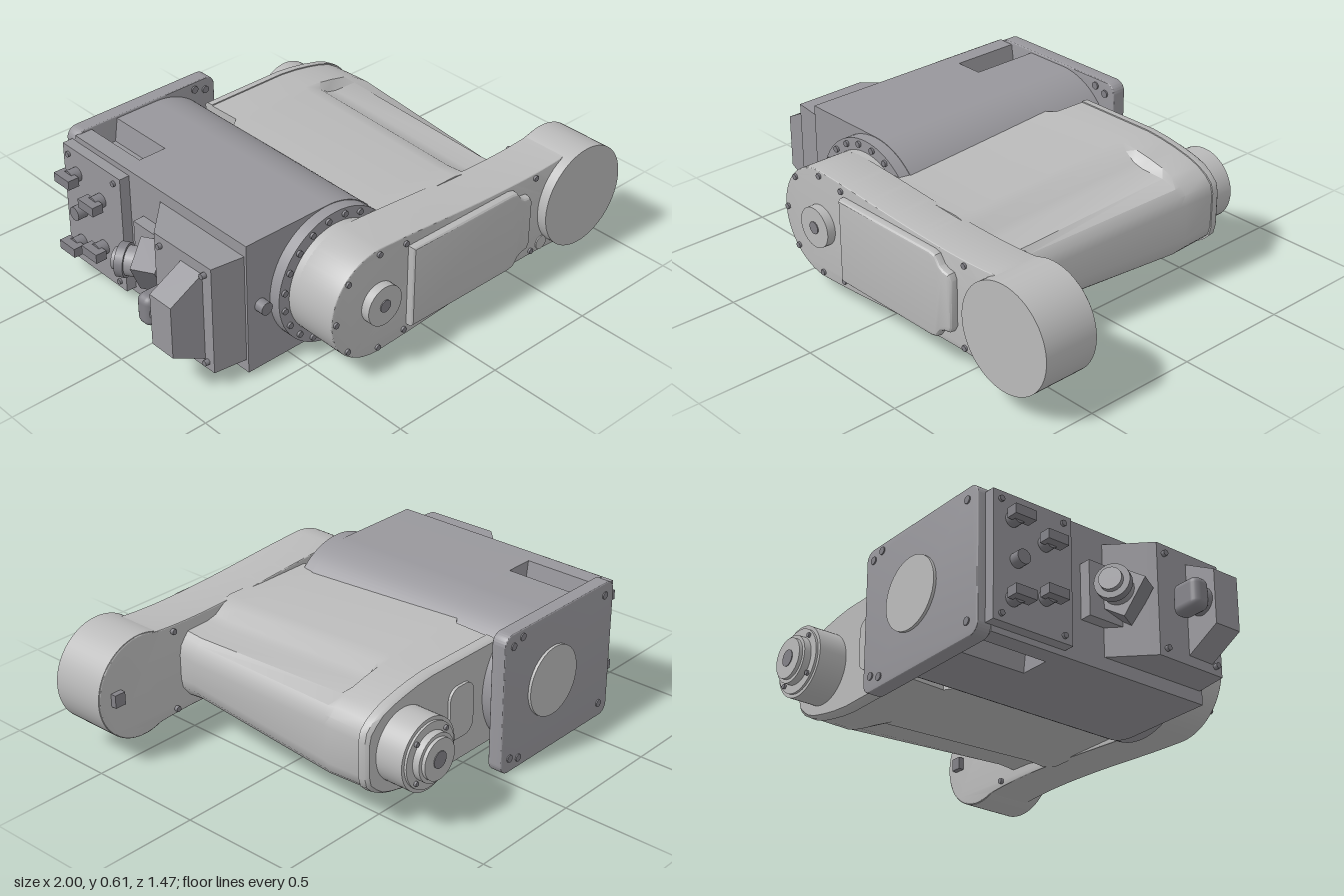
import * as THREE from 'three';
import { toCreasedNormals } from 'three/addons/utils/BufferGeometryUtils.js';
import { RoundedBoxGeometry } from 'three/addons/geometries/RoundedBoxGeometry.js';

const mat = (name, color) => new THREE.MeshStandardMaterial({ name, color });
const CY = 0.3125, JX = -0.315; // shared axis height and shoulder joint x

export function createModel() {
  const root = new THREE.Group();
  const light = mat('light grey', 0xbababa);
  const grey = mat('base grey', 0x98979c);
  const dark = mat('fitting grey', 0x828187);

  const add = (name, geo, m, x = 0, y = 0, z = 0) => {
    const mesh = new THREE.Mesh(geo, m);
    mesh.name = name;
    mesh.position.set(x, y, z);
    root.add(mesh);
    return mesh;
  };
  const box = (name, m, x0, x1, y0, y1, z0, z1) => add(name,
    new THREE.BoxGeometry(x1 - x0, y1 - y0, z1 - z0), m, (x0 + x1) / 2, (y0 + y1) / 2, (z0 + z1) / 2);
  // Cylinder along z or x between two positions
  const cylZ = (name, m, x, y, r, z0, z1, seg = 40) => add(name,
    new THREE.CylinderGeometry(r, r, z1 - z0, seg).rotateX(Math.PI / 2), m, x, y, (z0 + z1) / 2);
  const cylX = (name, m, x0, x1, y, z, r, seg = 20) => add(name,
    new THREE.CylinderGeometry(r, r, x1 - x0, seg).rotateZ(Math.PI / 2), m, (x0 + x1) / 2, y, z);
  // Shape in x-y extruded from z0 to z1 with an optional inward bevel
  const extrude = (name, m, shape, z0, z1, bevel = 0) => add(name, toCreasedNormals(
    new THREE.ExtrudeGeometry(shape, {
      depth: z1 - z0 - 2 * bevel, curveSegments: 28, bevelEnabled: bevel > 0,
      bevelSize: bevel, bevelThickness: bevel, bevelOffset: -bevel, bevelSegments: 3,
    }).translate(0, 0, z0 + bevel), 0.5), m);
  const poly = pts => new THREE.Shape(pts.map(p => new THREE.Vector2(...p)));
  const mirrored = pts => [...pts, ...[...pts].reverse().map(([x, y]) => [x, 2 * CY - y])];
  const rounded = (x0, x1, y0, y1, r) => {
    const s = new THREE.Shape();
    s.absarc(x1 - r, y1 - r, r, 0, Math.PI / 2);
    s.absarc(x0 + r, y1 - r, r, Math.PI / 2, Math.PI);
    s.absarc(x0 + r, y0 + r, r, Math.PI, Math.PI * 1.5);
    s.absarc(x1 - r, y0 + r, r, Math.PI * 1.5, Math.PI * 2);
    s.closePath();
    return s;
  };

  // Base housing: flat on the right, half round on the left, pockets near the foot
  const housing = pocket => {
    const s = new THREE.Shape();
    const top = 0.6, bottom = 0.025, d = 0.1;
    s.moveTo(-0.71, bottom);
    s.lineTo(-0.71, top);
    if (pocket) [[-0.635, top], [-0.62, top - d], [-0.525, top - d], [-0.51, top]].forEach(p => s.lineTo(...p));
    s.lineTo(JX, top);
    s.absarc(JX, CY, 0.2875, Math.PI / 2, -Math.PI / 2, true);
    if (pocket) [[-0.51, bottom], [-0.525, bottom + d], [-0.62, bottom + d], [-0.635, bottom]].forEach(p => s.lineTo(...p));
    s.closePath();
    return s;
  };
  extrude('baseHousing', grey, housing(false), -0.31, 0.405);
  extrude('baseHousingRear', grey, housing(true), -0.62, -0.31);

  // Mounting foot with rear disc and corner bolts
  extrude('mountingFlange', grey, rounded(-0.71, -0.01, 0.005, 0.61, 0.045), -0.68, -0.615, 0.006);
  cylZ('footDisc', light, JX, CY, 0.15, -0.692, -0.67);
  for (const x of [-0.65, -0.115, -0.06]) for (const s of [-1, 1]) {
    cylZ('footBolt', dark, x, CY + s * (x === -0.115 ? 0.265 : 0.245), 0.016, -0.685, -0.608, 12);
  }

  // Shoulder flange ringed with bolts
  cylZ('shoulderFlange', grey, JX, CY, 0.285, 0.4, 0.455, 64);
  for (let i = 0; i < 20; i++) {
    const a = (i + 0.5) / 20 * Math.PI * 2;
    cylZ('flangeBolt', dark, JX + 0.262 * Math.cos(a), CY + 0.262 * Math.sin(a), 0.013, 0.45, 0.465, 10);
  }
  cylZ('shoulderLip', light, JX, CY, 0.235, 0.42, 0.49, 64);
  cylZ('drainPlug', dark, -0.648, CY, 0.027, 0.4, 0.445, 16);

  // Connector box on the right side
  const sideBox = new THREE.Group();
  sideBox.name = 'connectorBox';
  const plan = (name, pts, y0, y1) => {
    const g = new THREE.ExtrudeGeometry(poly(pts.map(([x, z]) => [x, -z])), { depth: y1 - y0, bevelEnabled: false })
      .rotateX(-Math.PI / 2).translate(0, y0, 0);
    const mesh = new THREE.Mesh(g, grey);
    mesh.name = name;
    sideBox.add(mesh);
  };
  plan('connectorBoxBody', [[-0.7, 0.395], [-0.85, 0.375], [-0.855, 0.055], [-0.83, 0.03], [-0.7, -0.1]], 0.08, 0.55);
  root.add(sideBox);
  extrude('connectorBoxNose', grey, poly(mirrored([[-0.85, 0.505], [-1, 0.425]])), 0.205, 0.325);
  add('connectorKnob', new RoundedBoxGeometry(0.13, 0.13, 0.08, 3, 0.03), dark, -0.932, CY, 0.147);
  cylZ('connectorKnobNeck', dark, -0.932, CY, 0.055, 0.15, 0.21, 24);
  for (const y of [0.115, 0.51]) for (const z of [0.09, 0.34]) cylX('boxScrew', dark, -0.87, -0.84, y, z, 0.012, 10);

  // Tilted plug between the box and the cable panel
  const plug = new THREE.Group();
  plug.name = 'tiltedPlug';
  [[0.075, 0.1, -0.02], [0.06, 0.1, 0.06], [0.07, 0.035, 0.095], [0.045, 0.03, 0.12]].forEach(([r, h, y], i) => {
    const mesh = new THREE.Mesh(i ? new THREE.CylinderGeometry(r, r, h, 24) : new THREE.BoxGeometry(0.14, h, 0.17), i % 2 ? grey : dark);
    mesh.name = 'plugSection';
    mesh.position.y = y;
    plug.add(mesh);
  });
  plug.position.set(-0.795, CY, -0.075);
  plug.quaternion.setFromUnitVectors(new THREE.Vector3(0, 1, 0), new THREE.Vector3(-0.5, 0, -0.866));
  root.add(plug);
  box('plugBracket', grey, -0.76, -0.7, 0.2, 0.43, -0.2, 0);

  // Cable panel with fittings
  box('cablePanel', grey, -0.755, -0.7, 0.05, 0.575, -0.645, -0.28);
  for (const [y, z] of [[0.42, -0.41], [0.2, -0.41], [0.31, -0.54], [0.15, -0.56], [0.47, -0.56]]) {
    cylX('cableFitting', dark, -0.8, -0.75, y, z, 0.03, 16);
    if (z > -0.5 || y !== 0.31) box('elbowFitting', dark, -0.835, -0.785, y - 0.02, y + 0.02, z - 0.045, z + 0.05);
  }
  for (const y of [0.08, 0.54]) for (const z of [-0.61, -0.32]) cylX('panelScrew', dark, -0.765, -0.75, y, z, 0.012, 10);

  // Upper arm: lofted mirrored sections, grooved along its length, full at the head
  const grooved = (h, xr) => [[-0.14, h], [0.27, h], [0.33, h - 0.012], [0.375, h - 0.045], [0.42, h - 0.056],
    [0.53, h - 0.06], [xr - 0.03, h - 0.08], [xr - 0.008, h - 0.11], [xr, h - 0.15]];
  const full = (h, xr) => [[-0.1, h], [0.28, h], [0.36, h - 0.008], [0.43, h - 0.02], [0.5, h - 0.036],
    [0.55, h - 0.054], [xr - 0.04, h - 0.08], [xr - 0.01, h - 0.11], [xr, h - 0.15]];
  const loft = (name, m, rings) => {
    const pos = [], idx = [];
    const loops = rings.map(([z, half]) => mirrored(half.map(([x, h]) => [x, CY + h])).map(([x, y]) => [x, y, z]));
    const n = loops[0].length;
    loops.forEach(l => l.forEach(p => pos.push(...p)));
    for (let r = 0; r < loops.length - 1; r++) for (let i = 0; i < n; i++) {
      const a = r * n + i, b = r * n + (i + 1) % n;
      idx.push(a, a + n, b, b, a + n, b + n);
    }
    const last = (loops.length - 1) * n, c = pos.length / 3;
    pos.push(0.2, CY, rings[0][0], 0.2, CY, rings[rings.length - 1][0]);
    for (let i = 0; i < n; i++) {
      const j = (i + 1) % n;
      idx.push(c, i, j, c + 1, last + j, last + i);
    }
    // Rings run from front (+z) to back, clockwise seen from the front
    for (let i = 0; i < idx.length; i += 3) [idx[i + 1], idx[i + 2]] = [idx[i + 2], idx[i + 1]];
    const g = new THREE.BufferGeometry();
    g.setAttribute('position', new THREE.Float32BufferAttribute(pos, 3));
    g.setIndex(idx);
    return add(name, toCreasedNormals(g, 0.6), m);
  };
  loft('upperArm', light, [[0.5, grooved(0.205, 0.575)], [0.4, grooved(0.197, 0.583)],
    [-0.34, grooved(0.224, 0.63)], [-0.37, full(0.226, 0.636)], [-0.52, full(0.222, 0.632)]]);
  loft('armEndCap', light, [[-0.52, full(0.227, 0.637)], [-0.55, full(0.225, 0.635)], [-0.563, full(0.215, 0.625)]]);
  extrude('armRearCover', light, rounded(0.04, 0.18, 0.2, 0.425, 0.05), -0.575, -0.555);

  // Elbow motor at the back of the arm
  const EX = 0.44;
  cylZ('motorHousing', light, EX, CY, 0.15, -0.685, -0.55, 56);
  cylZ('motorRim', light, EX, CY, 0.135, -0.695, -0.68, 56);
  cylZ('motorStep', light, EX, CY, 0.1, -0.725, -0.69, 48);
  cylZ('motorHub', light, EX, CY, 0.085, -0.74, -0.72, 40);
  cylZ('motorBore', dark, EX, CY, 0.035, -0.743, -0.735, 24);
  for (let i = 0; i < 4; i++) {
    const a = Math.PI / 4 + i * Math.PI / 2;
    cylZ('motorScrew', dark, EX + 0.117 * Math.cos(a), CY + 0.117 * Math.sin(a), 0.01, -0.705, -0.69, 10);
  }

  // Front link with a round shoulder and a waisted run to the end pod
  const link = new THREE.Shape();
  link.moveTo(JX, CY + 0.235);
  link.bezierCurveTo(-0.1, 0.54, 0.05, 0.522, 0.25, 0.512);
  link.bezierCurveTo(0.4, 0.505, 0.55, 0.5, 0.7, 0.515);
  link.absarc(0.78, CY, 0.218, 1.95, -1.95, true);
  link.bezierCurveTo(0.55, 0.125, 0.4, 0.12, 0.25, 0.113);
  link.bezierCurveTo(0.05, 0.103, -0.1, 0.085, JX, CY - 0.235);
  link.absarc(JX, CY, 0.235, -Math.PI / 2, Math.PI / 2, true);
  extrude('frontLink', light, link, 0.48, 0.685, 0.006);
  cylZ('endPod', light, 0.78, CY, 0.22, 0.485, 0.728, 72);
  cylZ('shoulderCap', light, JX, CY, 0.085, 0.68, 0.722);
  cylZ('shoulderCapCentre', dark, JX, CY, 0.026, 0.72, 0.726, 20);
  extrude('linkCover', light, poly(mirrored([[-0.165, 0.492], [0.37, 0.492], [0.4, 0.485], [0.425, 0.45],
    [0.445, 0.44], [0.475, 0.435], [0.488, 0.41]])), 0.67, 0.718, 0.015);

  // Link screws, cable nub and rear sensor block
  for (const [x, y] of [[-0.53, CY], [-0.47, 0.465], [-0.47, 0.16], [JX, 0.525], [JX, 0.1], [-0.18, 0.51],
    [-0.18, 0.115], [0.53, 0.485], [0.53, 0.14]]) {
    cylZ('linkScrew', dark, x, y, 0.012, 0.68, 0.694, 10);
    if (x > 0) cylZ('linkRearScrew', dark, x + 0.08, y, 0.012, 0.465, 0.49, 10);
  }
  cylZ('cableNub', light, 0.59, 0.155, 0.03, 0.5, 0.69, 16);
  box('sensorBlock', dark, 0.89, 0.94, 0.285, 0.34, 0.455, 0.49);

  return root;
}
